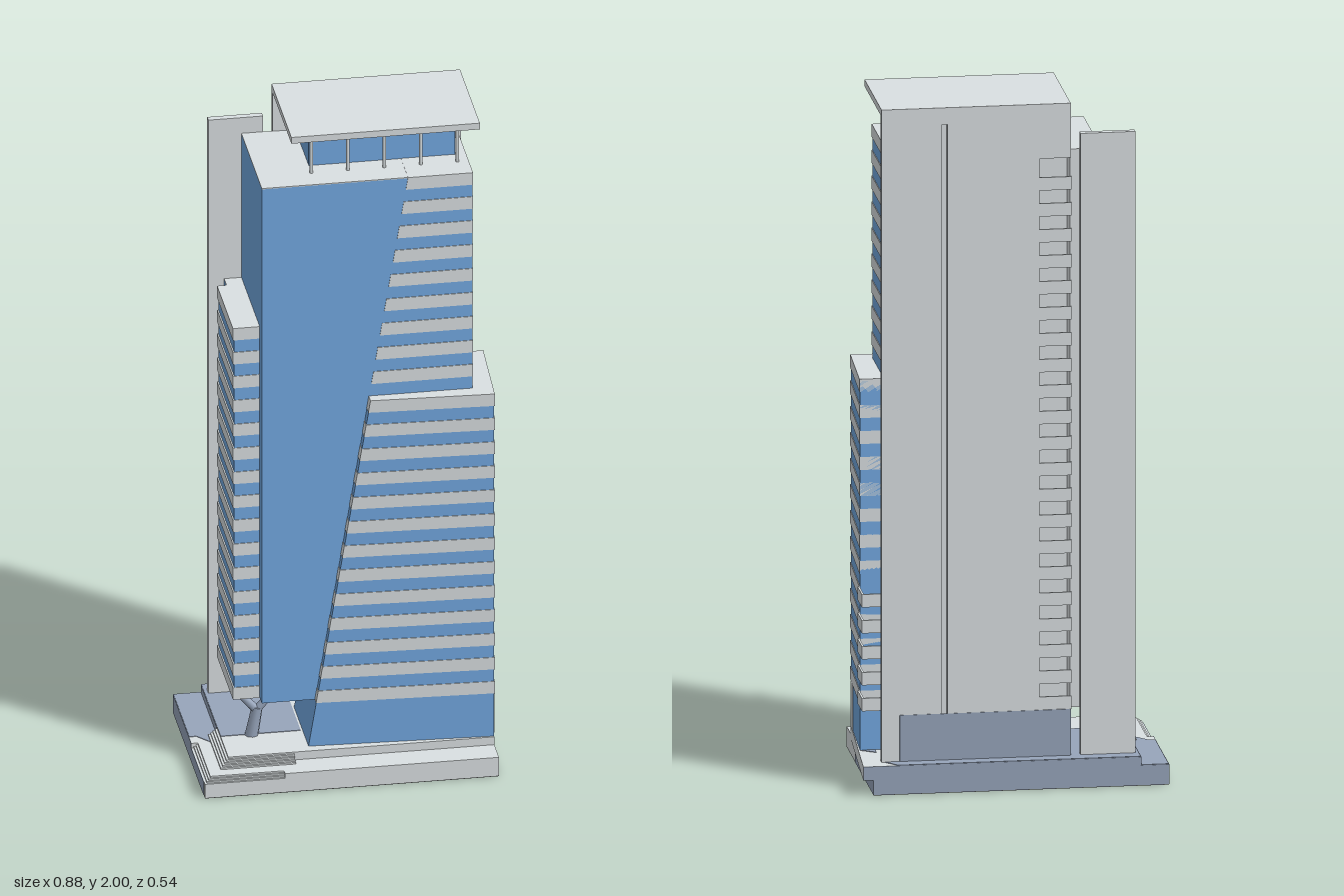
import * as THREE from 'three';

export function createModel() {
  const model = new THREE.Group();
  const material = (name, color) => {
    const m = new THREE.MeshStandardMaterial({ color });
    m.name = name;
    return m;
  };
  const concrete = material('concrete', 0xdae0e2);
  const glass = material('glass', 0x73a9e2);
  const slate = material('blueGreyPaving', 0x97a5bb);
  const dark = material('darkUnderside', 0x6e6e70);

  const add = (name, geo, mat, parent = model) => {
    const mesh = new THREE.Mesh(geo, mat);
    mesh.name = name;
    parent.add(mesh);
    return mesh;
  };
  const group = (name) => {
    const g = new THREE.Group();
    g.name = name;
    model.add(g);
    return g;
  };

  // Box given by its limits
  const box = (name, mat, x0, x1, y0, y1, z0, z1, parent) => {
    const geo = new THREE.BoxGeometry(x1 - x0, y1 - y0, z1 - z0);
    geo.translate((x0 + x1) / 2, (y0 + y1) / 2, (z0 + z1) / 2);
    return add(name, geo, mat, parent);
  };

  // Solid between two convex plans [x, z], plan(y) listed anticlockwise from above
  const loft = (name, mat, plan, y0, y1, parent) => {
    const low = plan(y0).map(([x, z]) => [x, y0, z]);
    const high = plan(y1).map(([x, z]) => [x, y1, z]);
    const n = low.length;
    const pos = [];
    for (let i = 0; i < n; i++) {
      const j = (i + 1) % n;
      pos.push(...low[i], ...low[j], ...high[j], ...low[i], ...high[j], ...high[i]);
    }
    for (let i = 1; i < n - 1; i++) {
      pos.push(...high[0], ...high[i], ...high[i + 1]);
      pos.push(...low[0], ...low[i + 1], ...low[i]);
    }
    const geo = new THREE.BufferGeometry();
    geo.setAttribute('position', new THREE.Float32BufferAttribute(pos, 3));
    geo.computeVertexNormals();
    return add(name, geo, mat, parent);
  };

  // Storey bands share one rhythm on every face
  const pitch = 0.0762;
  const band = 0.038;
  const top = (k) => 1.86 - k * pitch;
  const diagonal = (y) => -0.125 + (y - 0.08) * 0.163;

  // Stepped base
  const base = group('base');
  box('baseUnderside', dark, -0.44, 0.405, 0, 0.002, -0.27, 0.27, base);
  for (let i = 0; i < 4; i++) {
    const d = i * 0.006;
    const y0 = i ? 0.04 + i * 0.005 : 0.002;
    const y1 = 0.045 + i * 0.005;
    box('baseFront', concrete, -0.21, 0.405, y0, y1, -0.27, 0.27, base);
    box('baseCorner', concrete, -0.44 + d, -0.21, y0, y1, 0.04, 0.27 - d, base);
    box('baseLeftStrip', concrete, -0.44, -0.21, y0, y1, -0.27, 0.04, base);
  }
  loft('terrace', concrete,
    () => [[-0.36, -0.27], [-0.36, 0.19], [0.405, 0.19], [0.435, -0.27]], 0.045, 0.085, base);
  for (let i = 1; i <= 4; i++) {
    const d = i * 0.0065;
    box('terraceStep', concrete, -0.36 - d, -0.17, 0.058, 0.085 - i * 0.005, 0, 0.19 + d, base);
  }

  // Blue-grey areas of the base, as thin plates
  const paving = group('paving');
  const pave = (plan, y) => loft('pavingPlate', slate, () => plan, y, y + 0.0015, paving);
  pave([[-0.36, -0.27], [-0.36, -0.2], [0.375, -0.2], [0.375, -0.22], [0.335, -0.27]], 0.085);
  pave([[-0.36, -0.2], [-0.36, 0.06], [-0.13, 0.06], [-0.13, -0.2]], 0.085);
  pave([[-0.44, -0.27], [-0.44, 0], [-0.36, 0], [-0.36, -0.27]], 0.06);
  pave([[-0.42, 0], [-0.37, 0.06], [-0.36, 0.06], [-0.36, 0]], 0.06);
  pave([[0.375, -0.12], [0.375, -0.09], [0.418, -0.09]], 0.085);
  const face = (name, ...limits) => box(name, slate, ...limits, paving);
  face('baseBackFace', -0.44, 0.405, 0.002, 0.06, -0.2715, -0.27);
  face('terraceBackFace', -0.36, 0.435, 0.045, 0.085, -0.2715, -0.27);
  face('baseLeftFace', -0.4415, -0.44, 0.002, 0.06, -0.27, 0.04);
  face('baseLeftFrontFace', -0.4415, -0.44, 0.002, 0.045, 0.04, 0.25);
  face('terraceLeftFace', -0.3615, -0.36, 0.06, 0.085, -0.27, 0);
  face('baseRightFace', 0.405, 0.4065, 0.002, 0.046, -0.27, 0.09);
  face('wallFootFace', -0.165, 0.325, 0.085, 0.222, -0.2315, -0.23);

  // Upper tower with sloping boundary between plain and banded glass
  const tower = group('tower');
  box('towerGlass', glass, -0.255, 0.35, 0.222, 1.857, -0.085, 0.14, tower);
  box('towerGlassRear', glass, -0.255, -0.17, 0.222, 1.857, -0.206, -0.085, tower);
  box('towerRearPlate', concrete, -0.255, -0.17, 0.222, 1.857, -0.21, -0.206, tower);
  box('towerRoof', concrete, -0.255, 0.35, 1.857, 1.86, -0.085, 0.14, tower);
  box('towerRoofRear', concrete, -0.255, -0.165, 1.857, 1.86, -0.21, -0.085, tower);
  const upperPlan = (y) => [
    [diagonal(y), -0.084], [diagonal(y), 0.142], [0.352, 0.142], [0.352, -0.084],
  ];
  for (let k = 0; k < 9; k++) {
    loft('towerBand', concrete, upperPlan, top(k) - band, top(k) + 0.0005, tower);
  }

  // Lower volume leaning against the tower, its left edge on the same slope
  const lower = group('lowerVolume');
  const lowerPlan = (o) => (y) => {
    const x = diagonal(y) - o / 2;
    return [[x, -0.088], [x, 0.16 + (x + 0.13) * 0.047 + o], [0.405 + o, 0.185 + o], [0.418 + o, -0.088]];
  };
  loft('lowerGlass', glass, lowerPlan(0), 0.08, top(9) - 0.005, lower);
  for (let k = 9; k < 22; k++) {
    loft('lowerBand', concrete, lowerPlan(0.002), top(k) - band, top(k), lower);
  }
  for (const z of [0.125, 0.14, 0.16]) {
    box('entranceMullion', concrete, 0.404, 0.41, 0.085, 0.222, z - 0.002, z + 0.002, lower);
  }

  // Left wing, carried above the ground
  const wing = group('leftWing');
  box('wingGlass', glass, -0.328, -0.255, 0.224, top(6) - 0.004, -0.165, 0.102, wing);
  box('wingRearGlass', glass, -0.305, -0.255, 0.224, top(6) - 0.004, -0.208, -0.165, wing);
  for (let k = 6; k < 22; k++) {
    box('wingBand', concrete, -0.332, -0.255, top(k) - band, top(k), -0.167, 0.104, wing);
  }
  box('wingRearRoof', concrete, -0.305, -0.255, top(6) - 0.004, top(6), -0.208, -0.165, wing);

  // Branching column under the wing
  const column = group('branchingColumn');
  const strut = (name, a, b, r0, r1) => {
    const from = new THREE.Vector3(...a);
    const dir = new THREE.Vector3(...b).sub(from);
    const geo = new THREE.CylinderGeometry(r1, r0, dir.length(), 8);
    const mesh = add(name, geo, slate, column);
    mesh.position.copy(from).addScaledVector(dir, 0.5);
    mesh.quaternion.setFromUnitVectors(new THREE.Vector3(0, 1, 0), dir.normalize());
  };
  strut('columnTrunk', [-0.272, 0.08, 0.06], [-0.255, 0.172, 0.06], 0.02, 0.016);
  strut('columnBranch', [-0.257, 0.162, 0.06], [-0.315, 0.228, 0.06], 0.013, 0.01);
  strut('columnBranch', [-0.257, 0.162, 0.06], [-0.2, 0.228, 0.06], 0.013, 0.01);

  // Service core, penthouse and lining of the balcony recess
  const core = group('core');
  box('coreGlass', glass, -0.07, 0.32, 0.08, 1.859, -0.21, -0.08, core);
  box('penthouse', glass, -0.1, 0.32, 1.859, 1.98, -0.21, 0.02, core);
  box('recessBack', concrete, -0.17, -0.07, 0.222, 1.859, -0.15, -0.08, core);
  box('recessSide', concrete, -0.075, -0.07, 0.08, 1.859, -0.21, -0.08, core);
  box('recessSide', concrete, -0.17, -0.165, 0.222, 1.859, -0.21, -0.15, core);
  box('recessCeiling', concrete, -0.17, -0.075, 1.84, 1.859, -0.21, -0.15, core);

  // Tall back wall with a groove and a balcony recess
  const wall = group('backWall');
  const wallPart = (name, x0, x1, y0, y1, z0 = -0.23) =>
    box(name, concrete, x0, x1, y0, y1, z0, -0.21, wall);
  wallPart('wallPanel', 0.205, 0.377, 0.08, 1.98);
  wallPart('wallPanel', -0.075, 0.188, 0.08, 1.98);
  wallPart('wallGroove', 0.188, 0.205, 0.08, 1.95, -0.213);
  wallPart('wallGrooveHead', 0.188, 0.205, 1.95, 1.98);
  wallPart('wallOverRecess', -0.165, -0.075, 1.84, 1.98);
  wallPart('wallUnderRecess', -0.165, -0.075, 0.08, 0.222);
  box('sideFin', concrete, -0.35, -0.193, 0.08, 1.91, -0.23, -0.21);

  // Open rails on the right side, floored balconies in the back recess
  const balconies = group('balconies');
  const t = 0.006;
  const sideRail = (x1, z0, k) => {
    box('railEnd', concrete, 0.318, x1, top(k) - band, top(k), z0, z0 + t, balconies);
    box('railSide', concrete, x1 - t, x1, top(k) - band, top(k), z0 + t, -0.083, balconies);
  };
  for (let k = 0; k < 9; k++) sideRail(0.352, -0.165, k);
  for (let k = 17; k < 22; k++) sideRail(0.425, -0.172, k);
  for (let k = 1; k < 22; k++) {
    const y0 = top(k) - band;
    box('balconyFloor', concrete, -0.168, -0.075, y0, y0 + t, -0.228, -0.15, balconies);
    box('balconyRail', concrete, -0.168, -0.075, y0 + t, top(k), -0.228, -0.228 + t, balconies);
  }

  // Roof canopy on slim posts
  box('roofCanopy', concrete, -0.165, 0.377, 1.98, 2, -0.23, 0.11);
  const posts = group('canopyPosts');
  for (let i = 0; i < 5; i++) {
    const post = add('canopyPost', new THREE.CylinderGeometry(0.005, 0.005, 0.125, 8), concrete, posts);
    post.position.set(-0.1 + i * 0.105, 1.92, 0.065);
  }

  return model;
}
